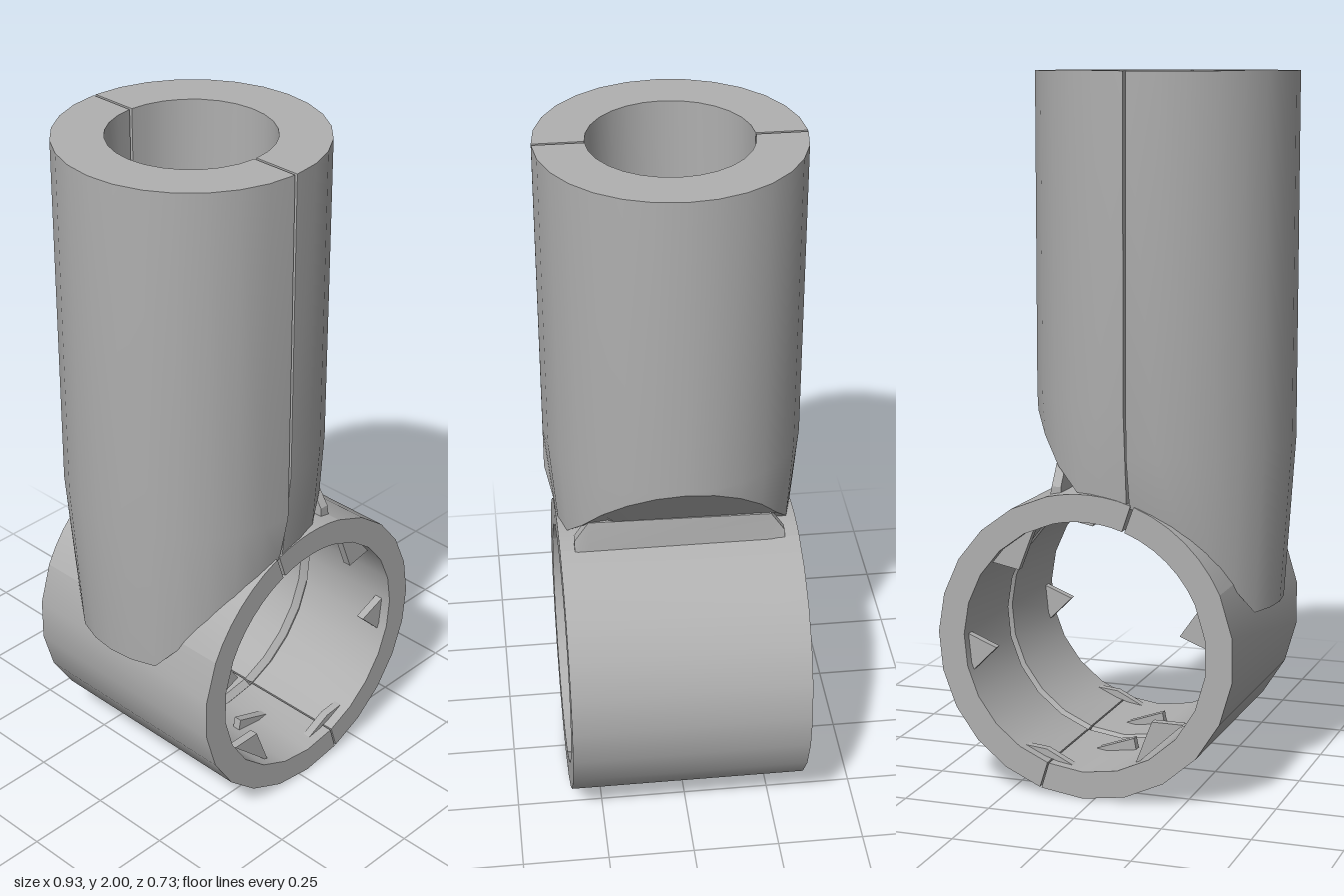
import * as THREE from 'three';
import { toCreasedNormals } from 'three/addons/utils/BufferGeometryUtils.js';

const RING = { x: 0.03, y: 0.43, outer: 0.432, inner: 0.355, half: 0.342 };
const TUBE = { x: -0.1, outer: 0.367, inner: 0.227, top: 2 };
const GAP = 0.004; // half width of the clamp slit

// Solid swept through a list of closed cross-sections, capped at both ends
function loft(sections) {
  const n = sections[0].length, pos = [];
  const tri = (a, b, c) => pos.push(...a, ...b, ...c);
  for (let i = 0; i < sections.length - 1; i++) {
    const a = sections[i], b = sections[i + 1];
    for (let j = 0; j < n; j++) {
      const k = (j + 1) % n;
      tri(a[j], b[j], b[k]);
      tri(a[j], b[k], a[k]);
    }
  }
  const first = sections[0], last = sections[sections.length - 1];
  for (let j = 1; j < n - 1; j++) {
    tri(first[0], first[j], first[j + 1]);
    tri(last[0], last[j + 1], last[j]);
  }
  // turn the faces outward if the signed volume is negative
  let volume = 0;
  const v = [0, 1, 2].map(() => new THREE.Vector3());
  for (let i = 0; i < pos.length; i += 9) {
    v.forEach((p, j) => p.fromArray(pos, i + j * 3));
    volume += v[0].dot(v[1].clone().cross(v[2]));
  }
  if (volume < 0) {
    for (let i = 0; i < pos.length; i += 9) {
      for (let j = 3; j < 6; j++) [pos[i + j], pos[i + j + 3]] = [pos[i + j + 3], pos[i + j]];
    }
  }
  const g = new THREE.BufferGeometry();
  g.setAttribute('position', new THREE.Float32BufferAttribute(pos, 3));
  return toCreasedNormals(g, 0.5);
}

// Evenly spaced values from a to b
const steps = (a, b, n) => Array.from({ length: n + 1 }, (_, i) => a + (b - a) * i / n);

// Height of the ring's upper surface at x for radius r
const ringTop = (x, r) => RING.y + Math.sqrt(Math.max(0, r * r - (x - RING.x) ** 2));

// Height of the slope that cuts the left side of the tube
const slope = x => 0.92 + (x - 0.12) * 1.26;

// Point on the ring at angle t
const ringPoint = (t, r, z) => [RING.x + r * Math.cos(t), RING.y + r * Math.sin(t), z];

// Full-width arc of the ring with a fine groove around the middle of its inside
function ringArc(t0, t1, n) {
  const { outer, inner, half } = RING;
  return loft(steps(t0, t1, n).map(t => [
    [outer, -half], [outer, half], [inner, half],
    [inner, 0.016], [inner + 0.02, 0], [inner, -0.016], [inner, -half],
  ].map(([r, z]) => ringPoint(t, r, z))));
}

// Strip of the ring beside the bore; side is 1 for front, -1 for back
function ringBand(t0, t1, bore, side) {
  return loft(steps(t0, t1, 6).map(t => [
    [RING.outer, bore(t)], [RING.outer, RING.half], [RING.inner, RING.half], [RING.inner, bore(t)],
  ].map(([r, z]) => ringPoint(t, r, side * z))));
}

// Half of the upright tube; side is 1 or -1 along x
function halfTube(side) {
  const trim = Math.asin(GAP / TUBE.outer);
  return loft(steps(-Math.PI / 2 + trim, Math.PI / 2 - trim, 14).map(t => {
    const c = Math.cos(t);
    const p = (r, y) => [TUBE.x + side * Math.max(GAP, r * c), y, r * Math.sin(t)];
    const lowR = side > 0 ? 0.34 + 0.027 * c : 0.337;
    const x = TUBE.x + side * lowR * c;
    const xi = TUBE.x + side * TUBE.inner * c;
    // the left side is cut by a slope, the right side wraps down the ring
    const low = side > 0
      ? Math.max(ringTop(x, RING.outer), slope(x))
      : Math.max(0.52, ringTop(x, RING.outer) - 0.01);
    const inner = side > 0
      ? Math.max(ringTop(xi, RING.outer - 0.01), slope(xi))
      : ringTop(xi, 0.385);
    return [
      p(TUBE.outer, TUBE.top), p(TUBE.outer, side > 0 ? 1.11 : 0.98),
      p(lowR, low), p(TUBE.inner, inner), p(TUBE.inner, TUBE.top),
    ];
  }));
}

export function createModel() {
  const model = new THREE.Group();
  const grey = new THREE.MeshStandardMaterial({ color: 0xb0b0b0 });
  grey.name = 'plain grey';
  const add = (name, geometry) => {
    const mesh = new THREE.Mesh(geometry, grey);
    mesh.name = name;
    model.add(mesh);
  };

  // Upright split tube
  add('leftTubeHalf', halfTube(1));
  add('rightTubeHalf', halfTube(-1));

  // Lower ring, split near the bottom and open where the bore enters
  const mid = (RING.outer + RING.inner) / 2;
  const angleAt = x => Math.acos((x - RING.x) / mid);
  const holeStart = angleAt(TUBE.x + TUBE.inner), holeEnd = angleAt(TUBE.x - TUBE.inner);
  const slit = Math.PI * 1.5 + 0.3;
  add('ringLeftArc', ringArc(slit + 0.006, holeStart + Math.PI * 2, 10));
  add('ringRightArc', ringArc(holeEnd, slit - 0.006, 8));

  // Ring bands in front of and behind the bore
  const bore = t => {
    const x = RING.x + mid * Math.cos(t) - TUBE.x;
    return Math.sqrt(Math.max(0, TUBE.inner ** 2 - x * x));
  };
  const spans = [[holeStart, angleAt(TUBE.x + GAP)], [angleAt(TUBE.x - GAP), holeEnd]];
  for (const [a, b] of spans) {
    add('ringFrontBand', ringBand(a, b, bore, 1));
    add('ringBackBand', ringBand(a, b, bore, -1));
  }

  // Ledge under the slope where the tube meets the ring
  const ledge = (z, y) => [[0.108, y, z], [0.135, y, z], [0.145, 0.82, z], [0.108, 0.82, z]];
  add('ledge', loft([ledge(-0.3, 0.87), ledge(-0.26, 0.93), ledge(0.26, 0.94), ledge(0.3, 0.88)]));

  // Small grip teeth inside the ring: an x, y triangle and its distance from the middle
  const teeth = [
    [[[-0.31, 0.58], [-0.24, 0.48], [-0.34, 0.44]], 0.3],
    [[[-0.25, 0.23], [-0.16, 0.23], [-0.11, 0.1]], 0.3],
    [[[0.3, 0.4], [0.4, 0.44], [0.38, 0.32]], 0.3],
    [[[0.18, 0.76], [0.23, 0.63], [0.33, 0.65]], 0.3],
    [[[0.03, 0.06], [0.15, 0.12], [0.25, 0.13]], 0.3],
    [[[-0.06, 0.07], [-0.05, 0.12], [0.09, 0.07]], 0.13],
  ];
  for (const [tooth, distance] of teeth) {
    for (const z of [-distance, distance]) {
      add('gripTooth', loft([z - 0.012, z + 0.012].map(d => tooth.map(([x, y]) => [x, y, d]))));
    }
  }
  return model;
}
